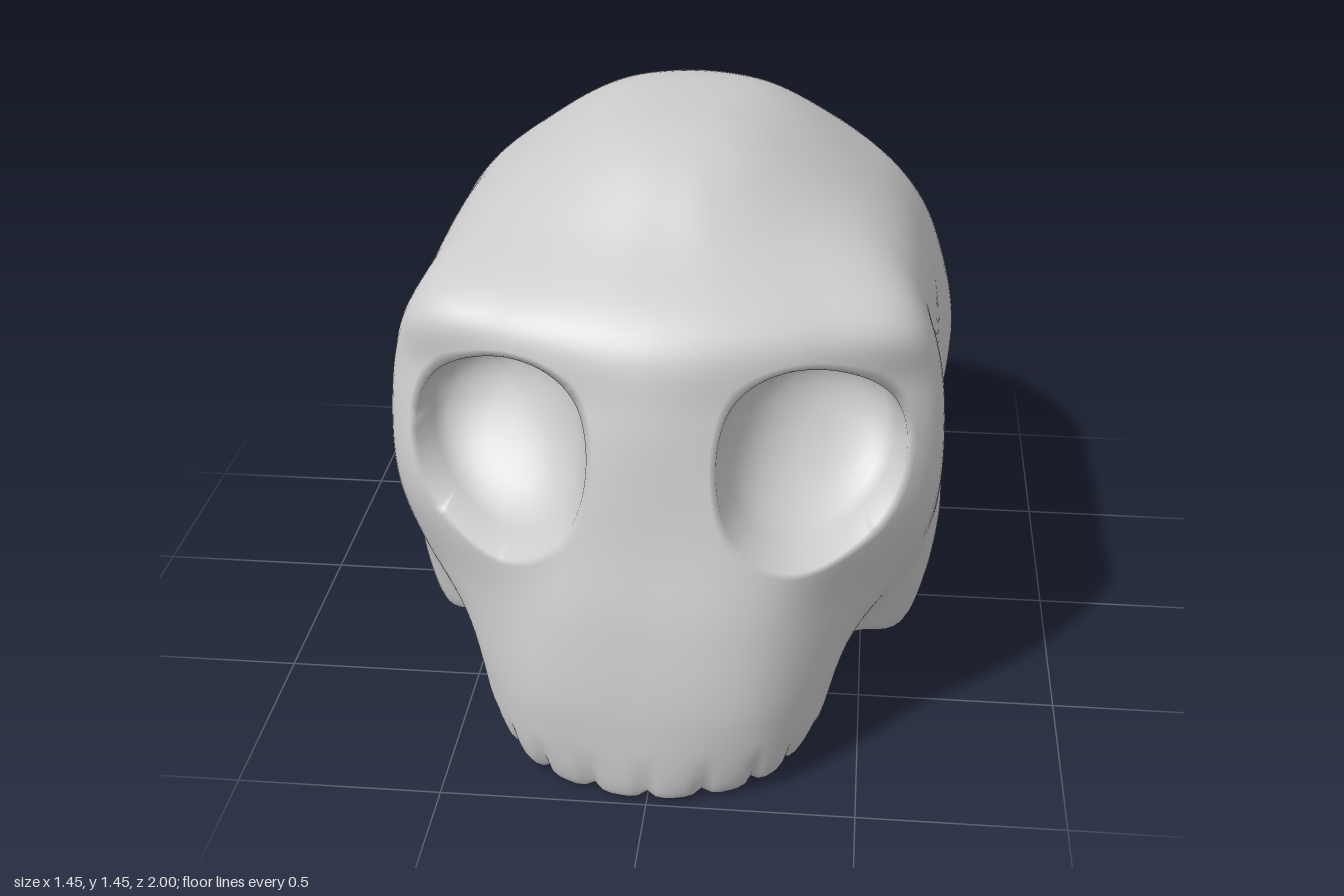
import * as THREE from 'three';
import { mergeVertices } from 'three/addons/utils/BufferGeometryUtils.js';

// Half outlines at fixed heights: [x, z] pairs from the front midline round the left side to the back.
const levels = [
  [1.42, [0, .3, .07, .29, .14, .25, .19, .17, .21, .06, .22, -.08, .2, -.2, .13, -.29, 0, -.33]],
  [1.27, [0, .54, .12, .53, .26, .46, .38, .34, .44, .16, .45, -.1, .4, -.37, .25, -.59, 0, -.685]],
  [1.13, [0, .76, .18, .74, .37, .68, .57, .57, .59, .28, .59, -.1, .555, -.42, .36, -.72, 0, -.85]],
  [0.95, [0, .83, .18, .8, .39, .72, .645, .56, .65, .3, .66, -.08, .655, -.47, .46, -.815, 0, -.96]],
  [0.67, [0, .89, .19, .88, .4, .83, .655, .59, .675, .3, .69, -.05, .72, -.5, .55, -.8, 0, -1]],
  [0.45, [0, .95, .24, .93, .42, .8, .6, .57, .69, .28, .67, 0, .66, -.45, .45, -.75, 0, -.905]],
];

// Half outlines of the underside: [x, y, z] triples in the same order.
const base = [
  // muzzle and lower cheek
  [0, .22, .99, .26, .22, .95, .415, .23, .79, .49, .3, .61, .66, .27, .32, .61, .36, -.02, .54, .3, -.42, .36, .28, -.68, 0, .28, -.75],
  // rim: tooth line, cheek tip, bottom of the braincase
  [0, .015, .985, .25, .02, .91, .375, .09, .785, .45, .25, .61, .61, .15, .33, .56, .31, -.04, .4, .19, -.4, .22, .17, -.52, 0, .17, -.55],
  // inner lip
  [0, .08, .88, .18, .09, .8, .29, .15, .69, .41, .27, .55, .54, .17, .31, .46, .32, 0, .26, .19, -.25, .13, .17, -.28, 0, .17, -.28],
  // wall of the hollow
  [0, .33, .76, .15, .34, .71, .28, .38, .59, .43, .43, .47, .58, .42, .28, .46, .43, .1, .25, .32, 0, .12, .29, -.02, 0, .28, -.02],
];

const COLS = 16, STEPS = 12;
// Eye socket in (column, row) units; the blend reaches past its rim
const EYE = { u: 21 / STEPS, v: 53 / STEPS, rim: 11 / STEPS, blend: 20 / STEPS, depth: 0.26 };
const eyeColumn = u => (u < COLS / 2 ? EYE.u : COLS - EYE.u);

// Mirror a half outline into a full ring of 16 control points
function ring(half) {
  return Array.from({ length: COLS }, (_, j) => {
    const p = half[j <= 8 ? j : COLS - j];
    return new THREE.Vector3(j <= 8 ? p.x : -p.x, p.y, p.z);
  });
}

function controlRings() {
  const pole = (y, z) => Array.from({ length: 9 }, () => new THREE.Vector3(0, y, z));
  const halves = [pole(1.455, 0.03)];
  for (const [y, xz] of levels)
    halves.push(Array.from({ length: 9 }, (_, j) => new THREE.Vector3(xz[2 * j], y, xz[2 * j + 1])));
  for (const row of base)
    halves.push(Array.from({ length: 9 }, (_, j) => new THREE.Vector3().fromArray(row, 3 * j)));
  halves.push(pole(0.5, 0.32));
  return halves.map(ring);
}

function spline(p, t) {
  const [a, b, c, d] = p, t2 = t * t, t3 = t2 * t;
  return new THREE.Vector3()
    .addScaledVector(a, (-t3 + 2 * t2 - t) / 2)
    .addScaledVector(b, (3 * t3 - 5 * t2 + 2) / 2)
    .addScaledVector(c, (-3 * t3 + 4 * t2 + t) / 2)
    .addScaledVector(d, (t3 - t2) / 2);
}

// Bend the square grid round each eye into circles, so the socket rim is one clean ring of vertices
function bendRoundEye(u, v) {
  const cu = eyeColumn(u);
  const du = u - cu, dv = v - EYE.v;
  const m = Math.max(Math.abs(du), Math.abs(dv)), e = Math.hypot(du, dv);
  if (e < 1e-6 || m >= EYE.blend) return { u, v, sink: e < 1e-6 ? EYE.depth : 0 };
  const t = Math.max(0, (m - EYE.rim) / (EYE.blend - EYE.rim));
  const s = THREE.MathUtils.lerp(m / e, 1, t);
  const sink = EYE.depth * Math.sqrt(Math.max(0, 1 - (m / EYE.rim) ** 2));
  return { u: cu + du * s, v: EYE.v + dv * s, sink };
}

// Scallop the lower edge of the muzzle into rounded teeth
function shapeTeeth(p, u) {
  const k = THREE.MathUtils.clamp((0.14 - p.y) / 0.1, 0, 1);
  const groove = 1 - Math.abs(Math.sin(2 * Math.PI * u));
  const g = k * groove * groove;
  p.x *= 1 - 0.025 * g;
  p.z -= 0.014 * g;
  p.y += 0.012 * g;
}

function skullGeometry() {
  const rings = controlRings(), last = rings.length - 1;
  // Past either pole, carry on down the opposite side
  const control = (i, j) => {
    const col = (j + COLS) % COLS, opposite = (col + 8) % COLS;
    if (i < 0) return rings[-i][opposite];
    if (i > last) return rings[2 * last - i][opposite];
    return rings[i][col];
  };
  const around = [-1, 0, 1, 2];
  const surface = (u, v) => {
    const j = Math.floor(u), i = Math.min(Math.floor(v), last - 1);
    return spline(around.map(m => spline(around.map(n => control(i + m, j + n)), u - j)), v - i);
  };

  const rows = last * STEPS, cols = COLS * STEPS, pos = [], index = [];
  for (let r = 0; r <= rows; r++) {
    for (let c = 0; c < cols; c++) {
      const { u, v, sink } = bendRoundEye(c / STEPS, r / STEPS);
      const p = surface(u, v);
      p.z -= sink;
      const fromFront = Math.min(u, COLS - u);
      if (v > 6.5 && v < 9.3 && fromFront <= 2.5) shapeTeeth(p, fromFront);
      pos.push(p.x, Math.max(p.y, 0), p.z);
      if (r === rows) continue;
      // Split each quad along the diagonal that points at the eye centre
      const a = r * cols + c, b = r * cols + (c + 1) % cols;
      const midU = (c + 0.5) / STEPS, midV = (r + 0.5) / STEPS;
      if ((midU - eyeColumn(midU)) * (midV - EYE.v) > 0) index.push(a, a + cols, b + cols, a, b + cols, b);
      else index.push(a, a + cols, b, b, a + cols, b + cols);
    }
  }
  const geo = new THREE.BufferGeometry();
  geo.setAttribute('position', new THREE.Float32BufferAttribute(pos, 3));
  geo.setIndex(index);
  const merged = mergeVertices(geo, 1e-5);
  merged.computeVertexNormals();
  return merged;
}

export function createModel() {
  const group = new THREE.Group();
  group.name = 'skullModel';
  const bone = new THREE.MeshStandardMaterial({ color: 0xcccccc, side: THREE.DoubleSide });
  const skull = new THREE.Mesh(skullGeometry(), bone);
  skull.name = 'skull';
  group.add(skull);
  return group;
}
